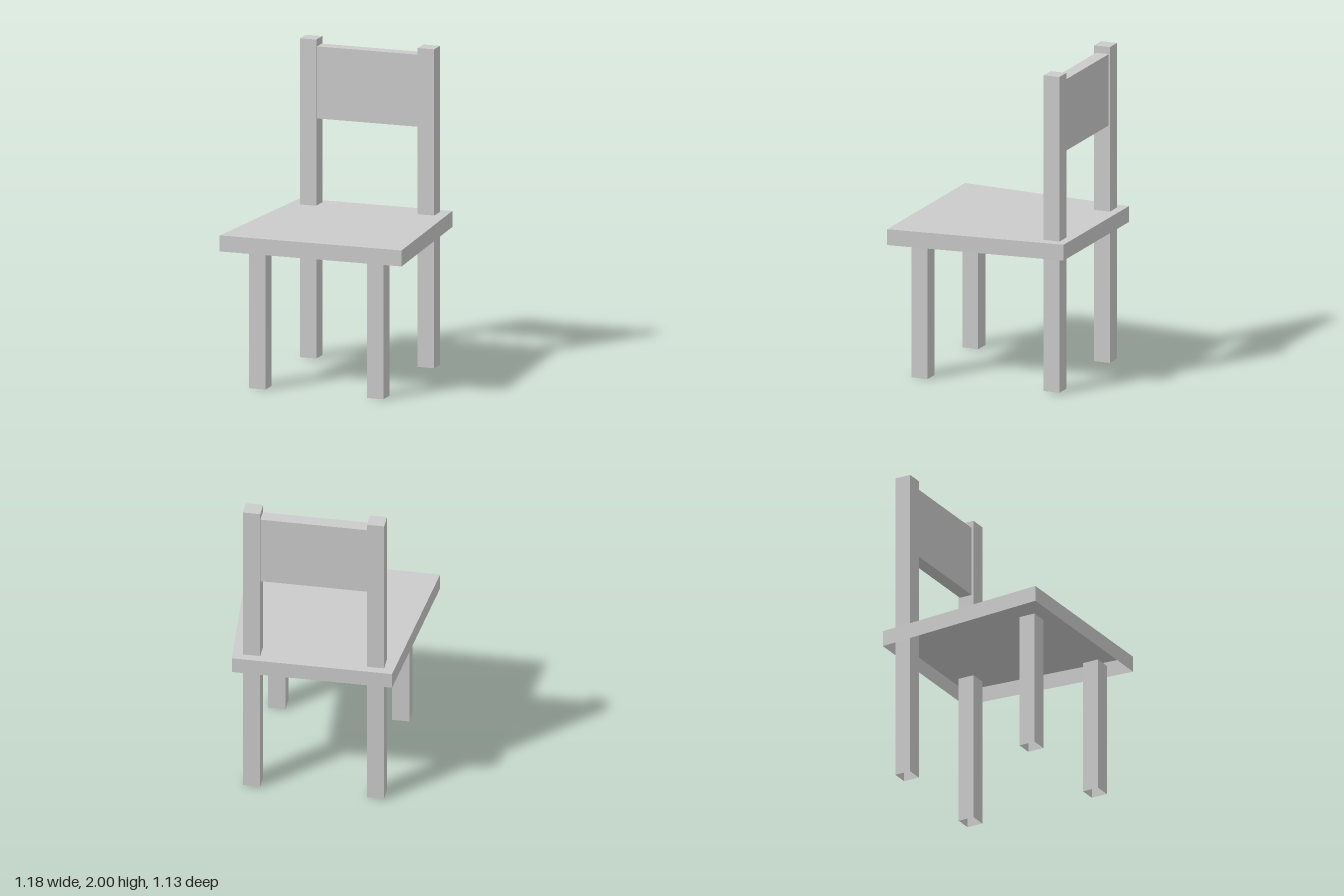
import * as THREE from 'three';

const material = new THREE.MeshStandardMaterial({ color: 0xcccccc, side: THREE.DoubleSide, flatShading: true });

// Box between two corners; sides listed in `open` are left off (2 = top, 3 = bottom)
function boxBetween([x0, y0, z0], [x1, y1, z1], open = []) {
  const geo = new THREE.BoxGeometry(x1 - x0, y1 - y0, z1 - z0);
  geo.translate((x0 + x1) / 2, (y0 + y1) / 2, (z0 + z1) / 2);
  const kept = Array.from(geo.index.array).filter((_, i) => !open.includes(Math.floor(i / 6)));
  geo.setIndex(kept);
  geo.clearGroups();
  return geo;
}

export function createModel() {
  const group = new THREE.Group();
  const add = (name, geo) => {
    const mesh = new THREE.Mesh(geo, material);
    mesh.name = name;
    group.add(mesh);
  };

  // Seat: open underneath, narrowing toward the back
  const seat = boxBetween([-1, 0.862, -0.566], [1, 0.962, 0.566], [3]);
  const pos = seat.attributes.position;
  for (let i = 0; i < pos.count; i++) {
    pos.setX(i, pos.getX(i) * (pos.getZ(i) > 0 ? 0.592 : 0.496));
  }
  seat.computeVertexNormals();
  add('seat', seat);

  // Hollow legs; the rear ones continue up as the back posts
  for (const [side, x] of [['left', 0.33], ['right', -0.437]]) {
    add(`${side}FrontLeg`, boxBetween([x, 0, 0.364], [x + 0.107, 0.862, 0.47], [2, 3]));
    add(`${side}BackPost`, boxBetween([x, 0.008, -0.512], [x + 0.107, 2, -0.408], [3]));
  }

  // Backrest panel between the posts
  add('backrest', boxBetween([-0.332, 1.505, -0.504], [0.332, 1.955, -0.421]));

  return group;
}
